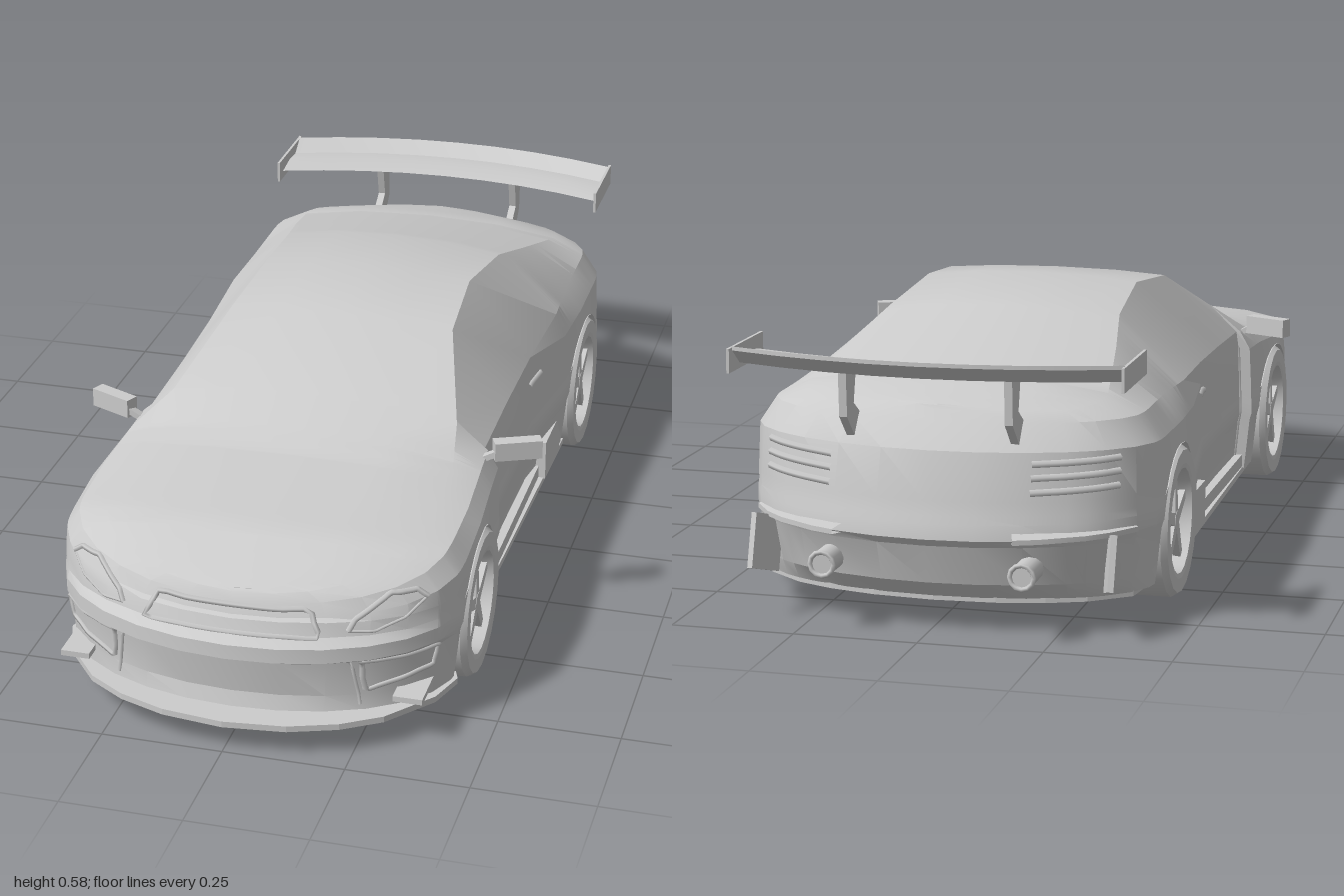
import * as THREE from 'three';
import { toCreasedNormals } from 'three/addons/utils/BufferGeometryUtils.js';

const grey = new THREE.MeshStandardMaterial({ color: 0xcccccc });
const thin = new THREE.MeshStandardMaterial({ color: 0xcccccc, side: THREE.DoubleSide });
const WHEELS = [0.555, -0.54], HUB = 0.155, ARCH = 0.16, NOSE = 0.72;

// Profiles along the car, each point [station, value], front to rear
const FLANK = [[.555, .42], [.325, .405], [.32, .38], [.1, .378], [-.12, .38], [-.35, .412], [-.5, .42]];
const SHOULDER = [[1, .27], [.8, .3], [.555, .335], [.42, .345], [-.9, .36]];
const BELT = [[1, .295], [.7, .355], [.325, .385], [-.5, .41]];
const BELT_IN = [[1, .91], [.325, .93], [.32, .97], [-.12, .98], [-.5, .9]];
const EDGE = [[1, .31], [.8, .355], [.42, .397], [.1, .547], [-.12, .567], [-.35, .538], [-.7, .445], [-.9, .428]];
const EDGE_IN = [[1, .76], [.42, .79], [.325, .765], [.32, .81], [.1, .65], [-.12, .61], [-.35, .6], [-.9, .8]];
const TOP = [[1, .315], [.8, .37], [.48, .402], [.1, .557], [-.12, .58], [-.35, .56], [-.7, .472], [-1, .438]];
// Lower body levels: height, width ratio, front reach, rear reach
const LEVELS = [[.065, .96, .94, -.89], [.1, .97, .93, -.925], [.18, .99, .94, -.95], [.195, 1, .972, -.962],
  [.225, 1, .97, -.957], [.24, .995, .945, -.95], [.268, .995, .935, -.945]];

function at(profile, s) {
  let i = 0;
  while (i < profile.length - 2 && profile[i + 1][0] > s) i++;
  const [a, va] = profile[i], [b, vb] = profile[i + 1];
  return va + (vb - va) * THREE.MathUtils.clamp((a - s) / (a - b), 0, 1);
}
// Half width: flank profile rounded off towards both ends
function width(s) {
  const t = Math.max(0, (Math.abs(s) - .66) / .34);
  return at(FLANK, s) * Math.sqrt(Math.max(0, 1 - t ** 2.2));
}
const reach = (s, front, rear) => s > NOSE ? NOSE + (s - NOSE) / (1 - NOSE) * (front - NOSE)
  : s < -NOSE ? -NOSE + (s + NOSE) / (1 - NOSE) * (-rear - NOSE) : s;

function archHeight(z) {
  for (const c of WHEELS) if (Math.abs(z - c) < ARCH) return HUB + Math.sqrt(ARCH ** 2 - (z - c) ** 2);
  return 0;
}

// Skin a list of equal-length cross-sections
function skin(sections, closed, crease) {
  const pos = [], n = sections[0].length;
  const tri = (...p) => {
    const [a, b, c] = p.map(q => new THREE.Vector3(...q));
    if (b.sub(a).cross(c.sub(a)).length() > 1e-9) pos.push(...p.flat());
  };
  for (let i = 0; i < sections.length - 1; i++) for (let j = 0; j < (closed ? n : n - 1); j++) {
    const k = (j + 1) % n, A = sections[i], B = sections[i + 1];
    tri(A[j], B[j], A[k]);
    tri(A[k], B[j], B[k]);
  }
  const g = new THREE.BufferGeometry();
  g.setAttribute('position', new THREE.Float32BufferAttribute(pos, 3));
  return toCreasedNormals(g, crease);
}

function bodySection(s) {
  const w = width(s), sh = at(SHOULDER, s), edge = at(EDGE, s), top = at(TOP, s), in_ = at(EDGE_IN, s);
  const half = LEVELS.map(([y, k, front, rear]) => {
    const z = reach(s, front, rear);
    return [w * k, Math.max(Math.min(y, sh - .004), archHeight(z)), z];
  });
  half.push([w * .985, sh, reach(s, .925, -.915)], [w * at(BELT_IN, s), at(BELT, s), reach(s, .915, -.875)],
    [w * in_, edge, reach(s, .905, -.855)], [w * in_ * .55, edge + (top - edge) * .75, reach(s, .9, -.85)],
    [0, top, reach(s, .9, -.848)]);
  return [...half, ...half.slice(0, -1).reverse().map(([x, y, z]) => [-x, y, z])];
}

function makeWheel() {
  const wheel = new THREE.Group();
  const add = (name, g, m = grey) => {
    const mesh = new THREE.Mesh(g, m);
    mesh.name = name;
    wheel.add(mesh);
    return mesh;
  };
  const lathe = pts => toCreasedNormals(
    new THREE.LatheGeometry(pts.map(p => new THREE.Vector2(...p)), 20).rotateZ(-Math.PI / 2), .5);
  add('tyre', lathe([[.11, -.06], [.145, -.06], [.155, -.05], [.155, .045], [.146, .058], [.118, .058]]), thin);
  add('rim', lathe([[.118, .058], [.108, .056], [.102, .02], [0, .012]]), thin);
  add('hub', new THREE.CylinderGeometry(.02, .026, .035, 10).rotateZ(-Math.PI / 2).translate(.03, 0, 0));
  for (let i = 0; i < 5; i++) {
    const g = new THREE.CylinderGeometry(.013, .019, .095, 4).rotateY(Math.PI / 4)
      .scale(.8, 1, 1).translate(.036, .058, 0);
    add('spoke', toCreasedNormals(g, .3)).rotation.x = i * Math.PI * 2 / 5;
  }
  return wheel;
}

export function createModel() {
  const car = new THREE.Group();
  const add = (name, g, m = grey) => {
    const mesh = new THREE.Mesh(g, m);
    mesh.name = name;
    car.add(mesh);
    return mesh;
  };
  const box = (name, size, pos) => {
    const mesh = add(name, new THREE.BoxGeometry(...size));
    mesh.position.set(...pos);
    return mesh;
  };

  // Body shell, with extra stations at the rounded ends and the wheel arches
  const stops = new Set([FLANK, BELT, EDGE, TOP].flat().map(p => p[0]));
  for (let k = 0; k <= 7; k++) {
    const s = .66 + .34 * Math.sin(k / 7 * Math.PI / 2);
    stops.add(s).add(-s);
  }
  for (const c of WHEELS) {
    stops.add(c + ARCH * 1.001).add(c - ARCH * 1.001);
    for (let k = 0; k <= 14; k++) stops.add(c + ARCH * .999 * Math.cos(Math.PI * k / 14));
  }
  const body = add('body', skin([...stops].sort((a, b) => b - a).map(bodySection), false, .35), thin);

  // Trim lines laid on the body by projecting flat points onto it
  const ray = new THREE.Raycaster();
  function trim(name, pts, dir, radius, closed) {
    const d = new THREE.Vector3(...dir), out = [];
    const loop = closed ? [...pts, pts[0]] : pts;
    const count = (loop.length - 1) * 5;
    for (let k = 0; k < count + (closed ? 0 : 1); k++) {
      const i = Math.min(Math.floor(k / 5), loop.length - 2), t = k / 5 - i;
      const u = loop[i][0] + (loop[i + 1][0] - loop[i][0]) * t, y = loop[i][1] + (loop[i + 1][1] - loop[i][1]) * t;
      ray.set(d.x ? new THREE.Vector3(-2 * d.x, y, u) : new THREE.Vector3(u, y, -2 * d.z), d);
      const hit = ray.intersectObject(body)[0];
      if (hit) out.push(hit.point);
    }
    add(name, new THREE.TubeGeometry(new THREE.CatmullRomCurve3(out, closed), out.length * 2, radius, 5, closed));
  }
  const front = [0, 0, -1], back = [0, 0, 1];
  trim('upperGrille', [[-.18, .24], [-.155, .287], [.155, .287], [.18, .24]], front, .006, true);
  trim('lowerGrille', [[-.25, .08], [-.235, .18], [.235, .18], [.25, .08]], front, .004, false);

  // Splitter and floor plate, notched for the wheels
  const edge = [1, .985, .95, .9, .8, .72].map(s => [width(s) * .985, reach(s, 1, -.89)]);
  for (const c of WHEELS) edge.push([.4, c + .14], [.3, c + .14], [.3, c - .14], [.385, c - .14]);
  for (const s of [-.8, -.9, -.95, -.985, -1]) edge.push([width(s) * .96, reach(s, 1, -.89)]);
  const plan = [...edge, ...edge.slice(1, -1).reverse().map(([x, z]) => [-x, z])];
  const floor = new THREE.Shape(plan.map(([x, z]) => new THREE.Vector2(x, -z)));
  add('floorAndSplitter', new THREE.ExtrudeGeometry(floor, { depth: .013, bevelEnabled: false })
    .rotateX(-Math.PI / 2).translate(0, .056, 0));

  // Rear wing: bowed in plan, upturned at the trailing edge
  const foil = [[0, .516], [-.06, .525], [-.11, .522], [-.15, .548], [-.15, .54], [-.11, .509], [-.05, .505]];
  const wing = [];
  for (let i = -4; i <= 4; i++) {
    const x = i * .0975;
    wing.push(foil.map(([dz, y]) => [x, y, -.85 + .45 * x * x + dz]));
  }
  add('wing', skin(wing, true, .3), thin);
  const strut = new THREE.Shape([[-.83, .36], [-.87, .36], [-.93, .42], [-.935, .515], [-.87, .512], [-.888, .44], [-.835, .405]]
    .map(p => new THREE.Vector2(...p)));

  for (const m of [1, -1]) {
    const flip = pts => pts.map(([x, y]) => [x * m, y]);
    trim('headlight', flip([[.23, .25], [.24, .27], [.30, .312], [.345, .31], [.365, .295]]), front, .006, false);
    trim('headlightLower', flip([[.23, .25], [.28, .247], [.33, .265], [.365, .295]]), front, .003, false);
    trim('bumperVent', flip([[.255, .14], [.26, .112], [.375, .14], [.385, .185], [.255, .185]]), front, .006, true);
    for (const y of [.285, .312, .338]) trim('tailLight', flip([[.2, y], [.355, y + .005]]), back, .007, false);
    trim('doorSeam', [[.315, .08], [.315, .2], [.315, .35]], [-m, 0, 0], .004, false);
    trim('doorHandle', [[-.1, .335], [-.18, .337]], [-m, 0, 0], .008, false);

    // Wheels and wells
    for (const z of WHEELS) {
      const wheel = makeWheel();
      wheel.name = z > 0 ? 'frontWheel' : 'rearWheel';
      wheel.position.set(.365 * m, HUB, z);
      if (m < 0) wheel.rotation.y = Math.PI;
      car.add(wheel);
      add('wheelWell', new THREE.CylinderGeometry(ARCH, ARCH, .11, 20, 1, true, 0, Math.PI)
        .rotateZ(Math.PI / 2).translate(.35 * m, HUB, z), thin);
      add('wellWall', new THREE.CircleGeometry(ARCH, 20, 0, Math.PI)
        .rotateY(Math.PI / 2).translate(.297 * m, HUB, z), thin);
      box('wellSide', [.006, .1, ARCH * 2], [.297 * m, .108, z]);
    }

    // Side skirt, rear intake and front canard
    box('sideSkirt', [.03, .035, .56], [.37 * m, .08, .05]);
    box('sideIntake', [.035, .09, .16], [.383 * m, .112, -.27]);
    box('canard', [.06, .012, .1], [.345 * m, .1, .83]);

    // Mirror on a short arm
    box('mirror', [.1, .04, .03], [.44 * m, .4, .33]).rotation.y = .42 * m;
    box('mirrorArm', [.05, .012, .018], [.38 * m, .383, .35]).rotation.z = .5 * m;

    // Wing struts and end plates
    add('wingStrut', new THREE.ExtrudeGeometry(strut, { depth: .016, bevelEnabled: false })
      .rotateY(-Math.PI / 2).translate(.165 * m + .008, 0, 0));
    box('wingEndPlate', [.006, .048, .195], [.391 * m, .522, -.853]);

    // Rear bumper lip, corner fin and exhaust
    const lip = [-.8, -.86, -.9, -.95, -.97].map(s => {
      const x = width(s) * m, out = reach(s, 1, -.995), inner = reach(s, 1, -.93);
      return [[x * .9, .19, inner], [x, .195, out], [x, .205, out], [x * .9, .215, inner]];
    });
    add('bumperLip', skin(lip, true, .3), thin);
    box('bumperFin', [.012, .11, .09], [.35 * m, .145, -.87]).rotation.set(.3, -.3 * m, 0);
    add('exhaust', new THREE.CylinderGeometry(.026, .026, .07, 12).rotateX(Math.PI / 2).translate(.2 * m, .135, -.935));
    add('exhaustRim', new THREE.TorusGeometry(.024, .005, 6, 12).translate(.2 * m, .135, -.97));
  }
  return car;
}
